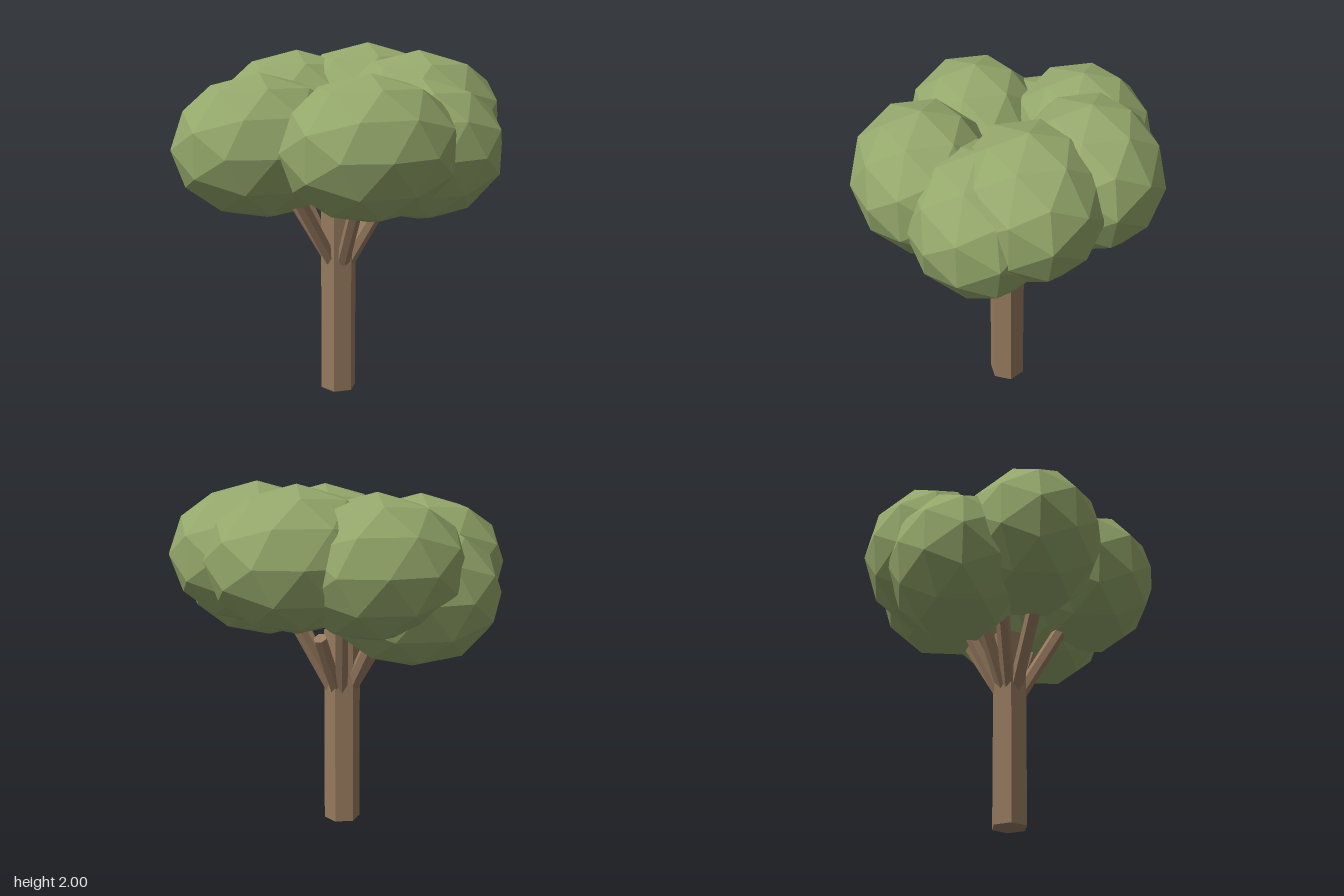
import * as THREE from 'three';

export function createModel() {
  const tree = new THREE.Group();
  tree.name = 'tree';
  const bark = new THREE.MeshStandardMaterial({ color: 0x967a5e });
  bark.name = 'bark brown';
  bark.flatShading = true;
  const leaf = new THREE.MeshStandardMaterial({ color: 0x95a86b });
  leaf.name = 'leaf green';
  leaf.flatShading = true;

  const add = (name, geometry, material) => {
    const mesh = new THREE.Mesh(geometry, material);
    mesh.name = name;
    tree.add(mesh);
    return mesh;
  };

  // Six-sided trunk with corners on the x axis
  const trunk = new THREE.CylinderGeometry(0.104, 0.104, 1.14, 6);
  trunk.rotateY(Math.PI / 6).translate(-0.005, 0.57, -0.005);
  add('trunk', trunk, bark);

  // Branches fanning out of the trunk: heading (degrees from +x towards +z), tilt, length
  const up = new THREE.Vector3(0, 1, 0);
  const branches = [
    [357, 28, 0.46], [33, 29, 0.46], [86, 30, 0.46], [158, 30, 0.44],
    [195, 30, 0.46], [225, 28, 0.52], [277, 25, 0.52], [304, 31, 0.39],
  ];
  for (const [heading, tilt, length] of branches) {
    const a = THREE.MathUtils.degToRad(heading);
    const t = THREE.MathUtils.degToRad(tilt);
    const direction = new THREE.Vector3(
      Math.sin(t) * Math.cos(a), Math.cos(t), Math.sin(t) * Math.sin(a));
    const geometry = new THREE.CylinderGeometry(0.04, 0.04, length, 6);
    geometry.translate(0, length / 2, 0);
    const branch = add('branch', geometry, bark);
    branch.position.set(0.06 * Math.cos(a), 0.8, 0.06 * Math.sin(a));
    branch.quaternion.setFromUnitVectors(up, direction);
  }

  // Seven overlapping faceted leaf clumps forming a ring-shaped crown
  const clump = new THREE.IcosahedronGeometry(1, 1);
  clump.rotateY(Math.PI / 2).scale(0.495, 0.4, 0.4);
  const centres = [
    [0.47, 1.59, -0.005], [0.395, 1.47, 0.24], [0.035, 1.535, 0.465],
    [-0.47, 1.505, 0.07], [-0.355, 1.39, -0.325], [-0.13, 1.56, -0.465],
    [0.285, 1.6, -0.385],
  ];
  for (const centre of centres) add('leafClump', clump, leaf).position.set(...centre);

  return tree;
}
